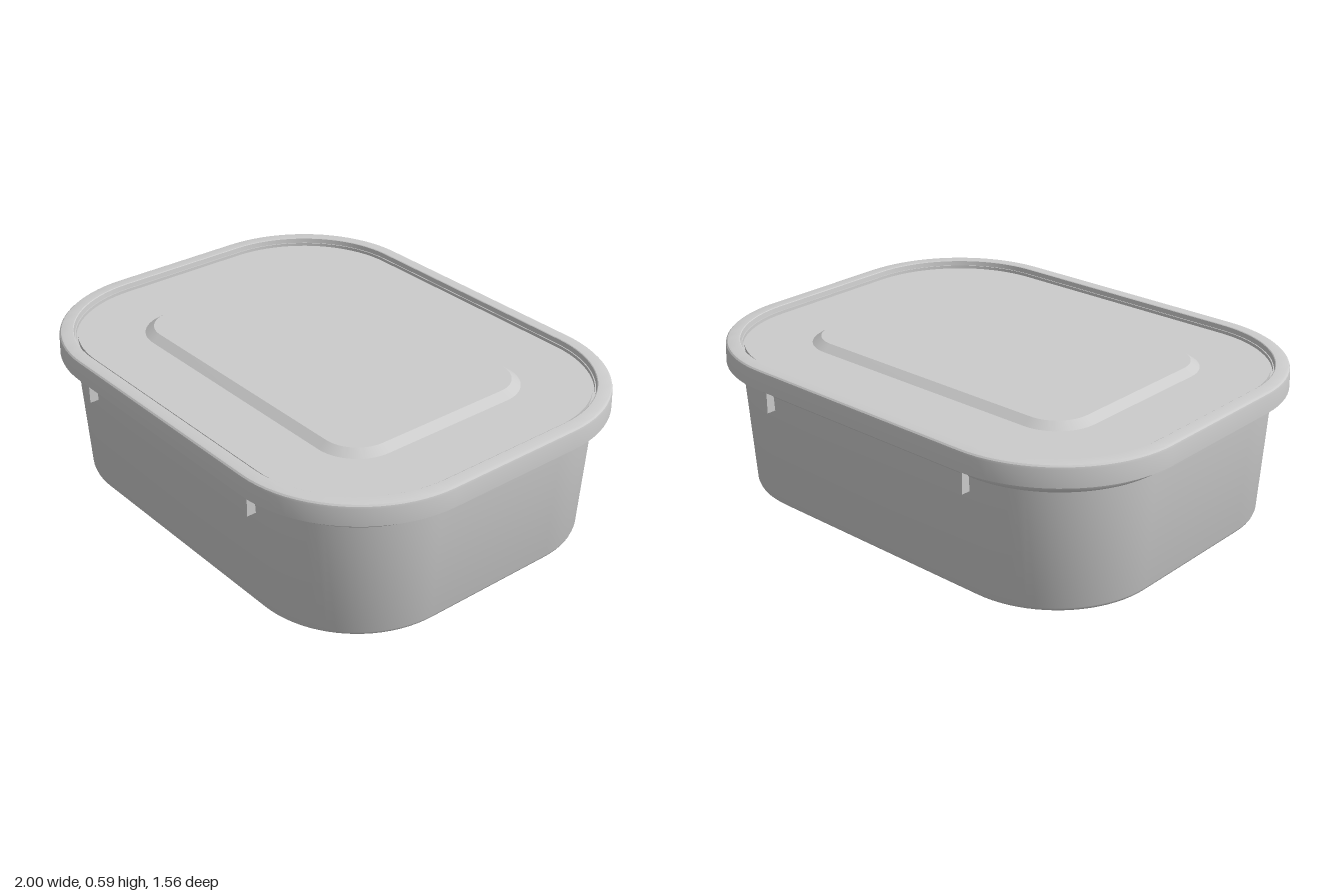
import * as THREE from 'three';
import { toCreasedNormals } from 'three/addons/utils/BufferGeometryUtils.js';

const CX = 0.5, CZ = 0.28; // centres of the rounded corners
const CORNER_STEPS = 20;

// Sweeps a profile of [radius, y, spread] around a rounded rectangle.
// spread 1 keeps the corner centres, spread 0 pulls them together into a circle.
function sweepProfile(profile) {
  const pos = [], index = [];
  const n = 4 * (CORNER_STEPS + 1);
  for (const [r, y, s = 1] of profile) {
    for (let c = 0; c < 4; c++) {
      const sx = c === 0 || c === 3 ? 1 : -1, sz = c < 2 ? 1 : -1;
      for (let k = 0; k <= CORNER_STEPS; k++) {
        const a = (c + k / CORNER_STEPS) * Math.PI / 2;
        pos.push(s * sx * CX + r * Math.cos(a), y, s * sz * CZ + r * Math.sin(a));
      }
    }
  }
  const isPoint = ([r, , s = 1]) => r === 0 && s === 0;
  for (let i = 0; i < profile.length - 1; i++) {
    for (let j = 0; j < n; j++) {
      const a = i * n + j, c = i * n + (j + 1) % n, b = a + n, d = c + n;
      if (!isPoint(profile[i + 1])) index.push(a, b, d);
      if (!isPoint(profile[i])) index.push(a, d, c);
    }
  }
  const geo = new THREE.BufferGeometry();
  geo.setAttribute('position', new THREE.Float32BufferAttribute(pos, 3));
  geo.setIndex(index);
  return toCreasedNormals(geo, 0.5);
}

export function createModel() {
  const group = new THREE.Group();
  const material = new THREE.MeshStandardMaterial({ color: 0xcccccc });
  const add = (name, geometry) => {
    const mesh = new THREE.Mesh(geometry, material);
    mesh.name = name;
    group.add(mesh);
    return mesh;
  };

  // Tapered tub: recessed base with centre dimple, stepped collar, hollow inside
  add('container', sweepProfile([
    [0, 0.032, 0], [0.018, 0.03, 0], [0.035, 0.022, 0],
    [0.135, 0.022], [0.17, 0],
    [0.396, 0], [0.403, 0.002], [0.408, 0.007], [0.411, 0.015],
    [0.438, 0.465], [0.447, 0.478], [0.45, 0.5], [0.452, 0.57],
    [0.436, 0.57], [0.432, 0.5], [0.42, 0.465],
    [0.395, 0.04], [0.17, 0.04], [0.135, 0.05], [0, 0.05, 0],
  ]));

  // Lid: overhanging skirt, raised rim, sunken top with a raised panel
  add('lid', sweepProfile([
    [0, 0.545, 0], [0.428, 0.545], [0.428, 0.575], [0.485, 0.575], [0.485, 0.51],
    [0.5, 0.51], [0.498, 0.575], [0.496, 0.583], [0.491, 0.588], [0.484, 0.59],
    [0.446, 0.59], [0.443, 0.588], [0.438, 0.558],
    [0.17, 0.558], [0.136, 0.582], [0, 0.582, 0],
  ]));

  // Thin stop ribs under the lid on both long sides
  for (const z of [-1, 1]) {
    for (const x of [-1, 1]) {
      add('stopRib', new THREE.BoxGeometry(0.009, 0.12, 0.045))
        .position.set(x * 0.49, 0.47, z * 0.7285);
    }
  }
  return group;
}
